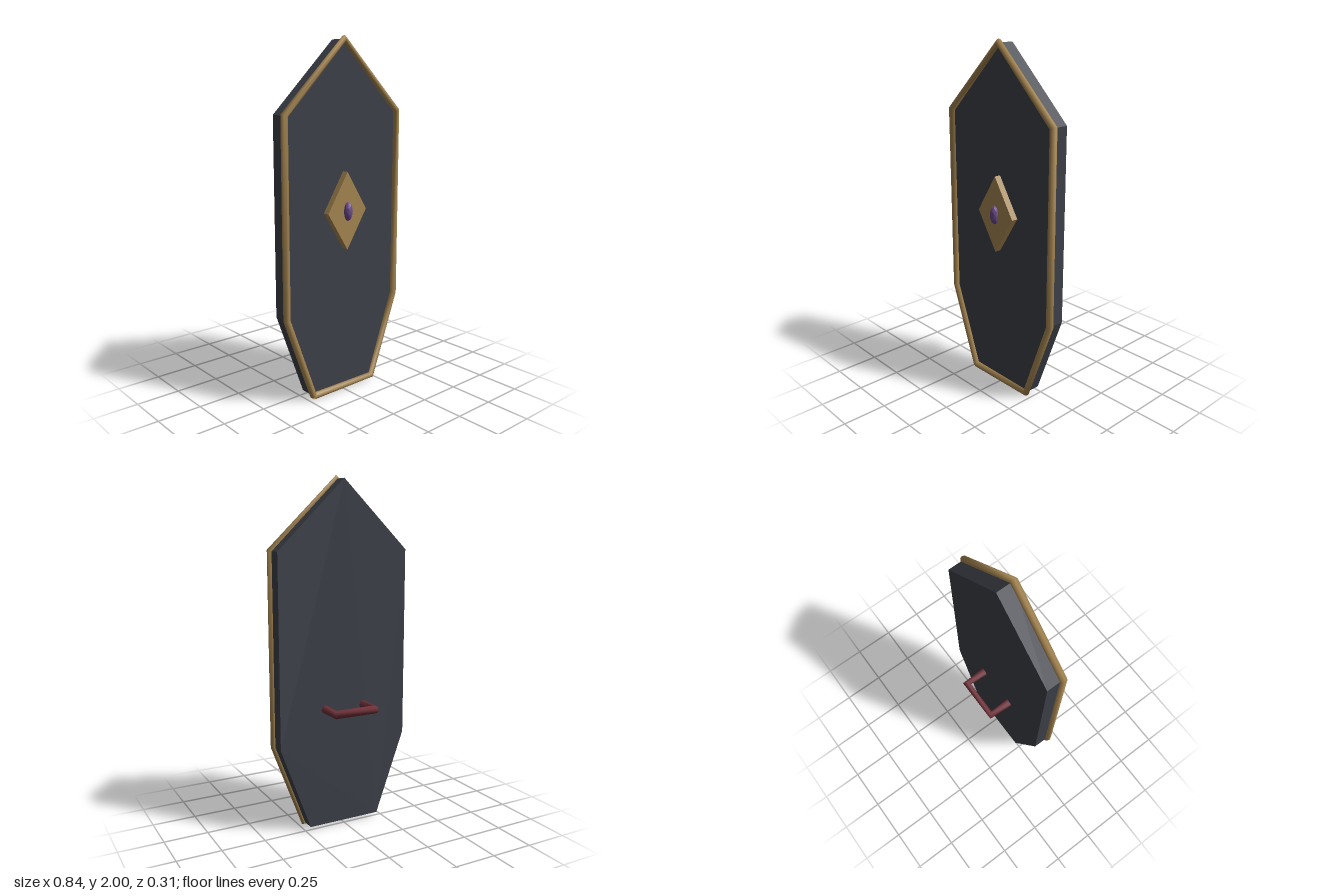
import * as THREE from 'three';

// Straight-segmented path whose corner rings lie on the bisector of both edges
class Polyline extends THREE.Curve {
  constructor(points) {
    super();
    this.points = points;
  }
  getPoint(t, target = new THREE.Vector3()) {
    const n = this.points.length - 1;
    const i = Math.min(Math.floor(t * n + 1e-6), n - 1);
    return target.lerpVectors(this.points[i], this.points[i + 1], t * n - i);
  }
  getPointAt(t, target) {
    return this.getPoint(t, target);
  }
  getTangentAt(t, target = new THREE.Vector3()) {
    const p = this.points, i = Math.round(t * (p.length - 1));
    target.set(0, 0, 0);
    if (i > 0) target.add(p[i].clone().sub(p[i - 1]).normalize());
    if (i < p.length - 1) target.add(p[i + 1].clone().sub(p[i]).normalize());
    return target.normalize();
  }
}

const material = (color, options = {}) =>
  new THREE.MeshStandardMaterial({ color, ...options });

const bar = (points, radius) =>
  new THREE.TubeGeometry(new Polyline(points), points.length - 1, radius, 8, false);

// Flat plate from an outline, running from z = back to z = front
function plate(outline, back, front) {
  const shape = new THREE.Shape(outline.map(([x, y]) => new THREE.Vector2(x, y)));
  return new THREE.ExtrudeGeometry(shape, { depth: front - back, bevelEnabled: false })
    .translate(0, 0, back);
}

export function createModel() {
  const group = new THREE.Group();
  const add = (name, geometry, mat) => {
    const mesh = new THREE.Mesh(geometry, mat);
    mesh.name = name;
    group.add(mesh);
    return mesh;
  };

  const gold = material(0xa58550);
  const goldRim = material(0xa58550, { side: THREE.DoubleSide });

  // Seven-sided board, counter-clockwise from the lower left corner
  const outline = [
    [-0.22, 0.025], [0.22, 0.025], [0.398, 0.51], [0.398, 1.595],
    [0, 1.98], [-0.398, 1.595], [-0.398, 0.51],
  ];
  add('board', plate(outline, -0.007, 0.085), material(0x3c4048));

  // Round rim along the front edge, with its seam at the lower left
  const rimPath = [...outline, outline[0]].map(([x, y]) => new THREE.Vector3(x, y, 0.089));
  add('rim', bar(rimPath, 0.02), goldRim);

  // Diamond plate and faceted gem
  const diamond = [[0, 0.845], [0.138, 1.062], [0, 1.28], [-0.138, 1.062]];
  add('diamondPlate', plate(diamond, 0.08, 0.123), gold);

  const gem = add('gem', new THREE.IcosahedronGeometry(0.027, 1),
    material(0x6d4a8c, { flatShading: true }));
  gem.scale.y = 2;
  gem.position.set(0, 1.062, 0.126);

  // Bent grip on the back
  const gripPath = [[-0.122, 0], [-0.122, -0.138], [0.122, -0.138], [0.122, 0]]
    .map(([x, z]) => new THREE.Vector3(x, 0.712, z));
  add('grip', bar(gripPath, 0.024), material(0x6f3038, { side: THREE.DoubleSide }));

  return group;
}
